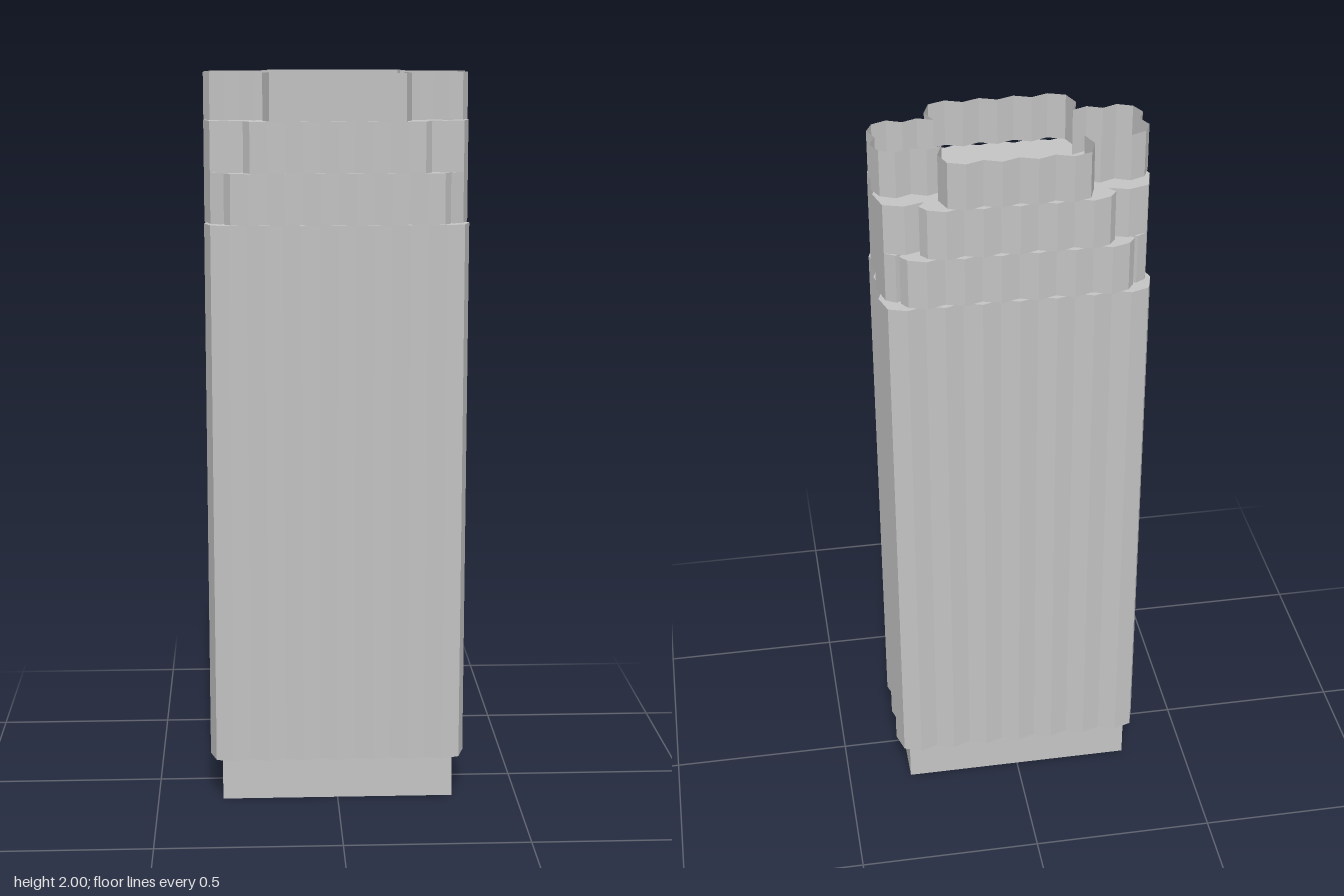
import * as THREE from 'three';

const HALF_X = 0.337, HALF_Z = 0.171, FLUTE = 0.017, PERIOD = 0.1;

// Rectangle with square notches cut from its corners, counter-clockwise
function plan(bayX, bayZ) {
  if (bayX === HALF_X) return [[HALF_X, -HALF_Z], [HALF_X, HALF_Z], [-HALF_X, HALF_Z], [-HALF_X, -HALF_Z]];
  const quarter = [[HALF_X, bayZ], [bayX, bayZ], [bayX, HALF_Z]];
  const flip = (pts, sx, sy) => pts.map(([x, y]) => [x * sx, y * sy]);
  return [
    ...quarter,
    ...flip([...quarter].reverse(), -1, 1),
    ...flip(quarter, -1, -1),
    ...flip([...quarter].reverse(), 1, -1),
  ];
}

// Break every edge into triangular flutes pointing outward
function fluted(corners) {
  const out = [];
  corners.forEach((a, i) => {
    const b = corners[(i + 1) % corners.length];
    const dx = b[0] - a[0], dy = b[1] - a[1], len = Math.hypot(dx, dy);
    const n = Math.max(1, Math.round(len / PERIOD));
    for (let k = 0; k < n; k++) {
      const t = k / n, m = (k + 0.5) / n;
      out.push(new THREE.Vector2(a[0] + dx * t, a[1] + dy * t));
      out.push(new THREE.Vector2(a[0] + dx * m + (dy / len) * FLUTE, a[1] + dy * m - (dx / len) * FLUTE));
    }
  });
  return out;
}

// Closed storey with floor and roof
function solid(points, y0, y1) {
  const g = new THREE.ExtrudeGeometry(new THREE.Shape(points), { depth: y1 - y0, bevelEnabled: false });
  return g.rotateX(-Math.PI / 2).translate(0, y0, 0);
}

// Thin wall ring, open above and below
function ring(points, y0, y1) {
  const pos = [];
  points.forEach((a, i) => {
    const b = points[(i + 1) % points.length];
    pos.push(a.x, y0, -a.y, b.x, y0, -b.y, b.x, y1, -b.y);
    pos.push(a.x, y0, -a.y, b.x, y1, -b.y, a.x, y1, -a.y);
  });
  const g = new THREE.BufferGeometry();
  g.setAttribute('position', new THREE.Float32BufferAttribute(pos, 3));
  g.computeVertexNormals();
  return g;
}

export function createModel() {
  const model = new THREE.Group();
  model.name = 'tower';
  const concrete = new THREE.MeshStandardMaterial({ color: 0xc4c4c4, side: THREE.DoubleSide });
  concrete.name = 'concrete grey';
  const add = (name, geometry) => {
    const mesh = new THREE.Mesh(geometry, concrete);
    mesh.name = name;
    model.add(mesh);
  };

  // Plain hollow plinth
  const base = [[0.32, -0.157], [0.32, 0.157], [-0.32, 0.157], [-0.32, -0.157]];
  add('plinth', ring(base.map(([x, y]) => new THREE.Vector2(x, y)), 0, 0.12));

  // Fluted shaft and stepped crown
  add('shaft', solid(fluted(plan(HALF_X, HALF_Z)), 0.12, 1.605));
  add('lowerSetback', solid(fluted(plan(0.284, 0.124)), 1.605, 1.74));
  add('middleSetback', solid(fluted(plan(0.232, 0.124)), 1.74, 1.875));

  // Open parapet around the roof
  add('parapet', ring(fluted(plan(0.18, 0.076)), 1.875, 2));
  return model;
}
